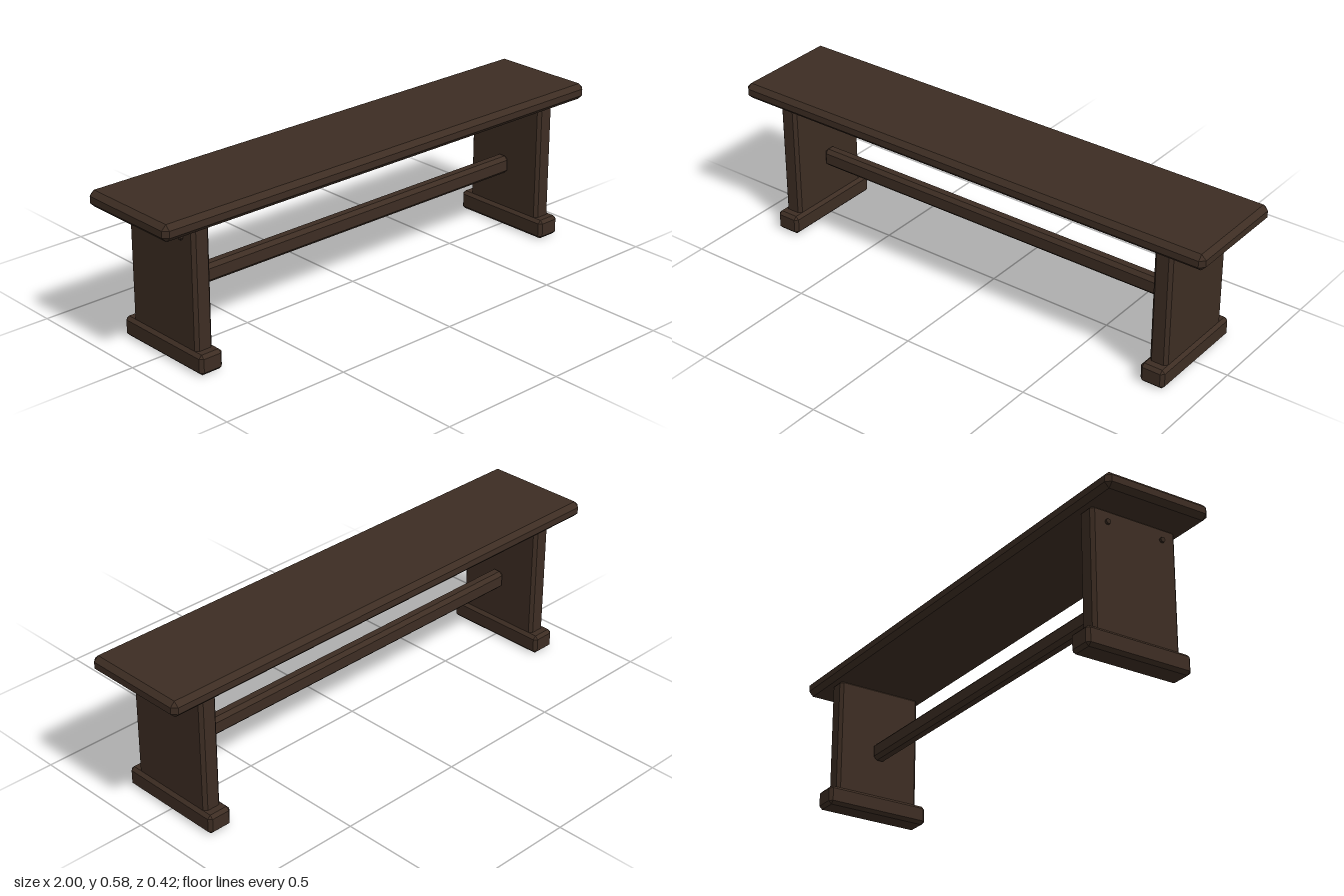
import * as THREE from 'three';
import { ConvexGeometry } from 'three/addons/geometries/ConvexGeometry.js';

const wood = new THREE.MeshStandardMaterial({ color: 0x3d2d23 });
wood.name = 'dark wood';
const pegWood = new THREE.MeshStandardMaterial({ color: 0x35281f });
pegWood.name = 'peg wood';

// Box with bevelled edges, given its extents and bevel size
function bevelBox(name, [x0, x1], [y0, y1], [z0, z1], c) {
  const hx = (x1 - x0) / 2, hy = (y1 - y0) / 2, hz = (z1 - z0) / 2;
  const pts = [];
  for (const sx of [-1, 1]) for (const sy of [-1, 1]) for (const sz of [-1, 1]) {
    pts.push(new THREE.Vector3(sx * hx, sy * (hy - c), sz * (hz - c)));
    pts.push(new THREE.Vector3(sx * (hx - c), sy * hy, sz * (hz - c)));
    pts.push(new THREE.Vector3(sx * (hx - c), sy * (hy - c), sz * hz));
  }
  const mesh = new THREE.Mesh(new ConvexGeometry(pts), wood);
  mesh.position.set((x0 + x1) / 2, (y0 + y1) / 2, (z0 + z1) / 2);
  mesh.name = name;
  return mesh;
}

export function createModel() {
  const bench = new THREE.Group();
  bench.name = 'bench';

  // Seat plank and the rail joining the legs
  bench.add(bevelBox('seat', [-1, 1], [0.52, 0.581], [-0.212, 0.212], 0.018));
  bench.add(bevelBox('stretcher', [-0.792, 0.792], [0.218, 0.288], [-0.027, 0.027], 0.014));

  // Panel leg, foot and two pegs at each end
  const pegGeo = new THREE.CylinderGeometry(0.01, 0.01, 0.02, 6).toNonIndexed();
  pegGeo.computeVertexNormals();
  for (const s of [-1, 1]) {
    const side = s > 0 ? 'left' : 'right';
    const span = (a, b) => (s > 0 ? [a, b] : [-b, -a]);
    bench.add(bevelBox(side + 'Leg', span(0.789, 0.861), [0.05, 0.527], [-0.175, 0.175], 0.012));
    bench.add(bevelBox(side + 'Foot', span(0.777, 0.873), [0, 0.075], [-0.212, 0.212], 0.012));
    for (const z of [-0.113, 0.113]) {
      const peg = new THREE.Mesh(pegGeo, pegWood);
      peg.name = side + 'Peg';
      peg.rotation.set(0, Math.PI / 2, Math.PI / 2, 'YZX');
      peg.rotation.set(0, 0, Math.PI / 2);
      peg.position.set(s * 0.86, 0.476, z);
      bench.add(peg);
    }
  }
  return bench;
}
